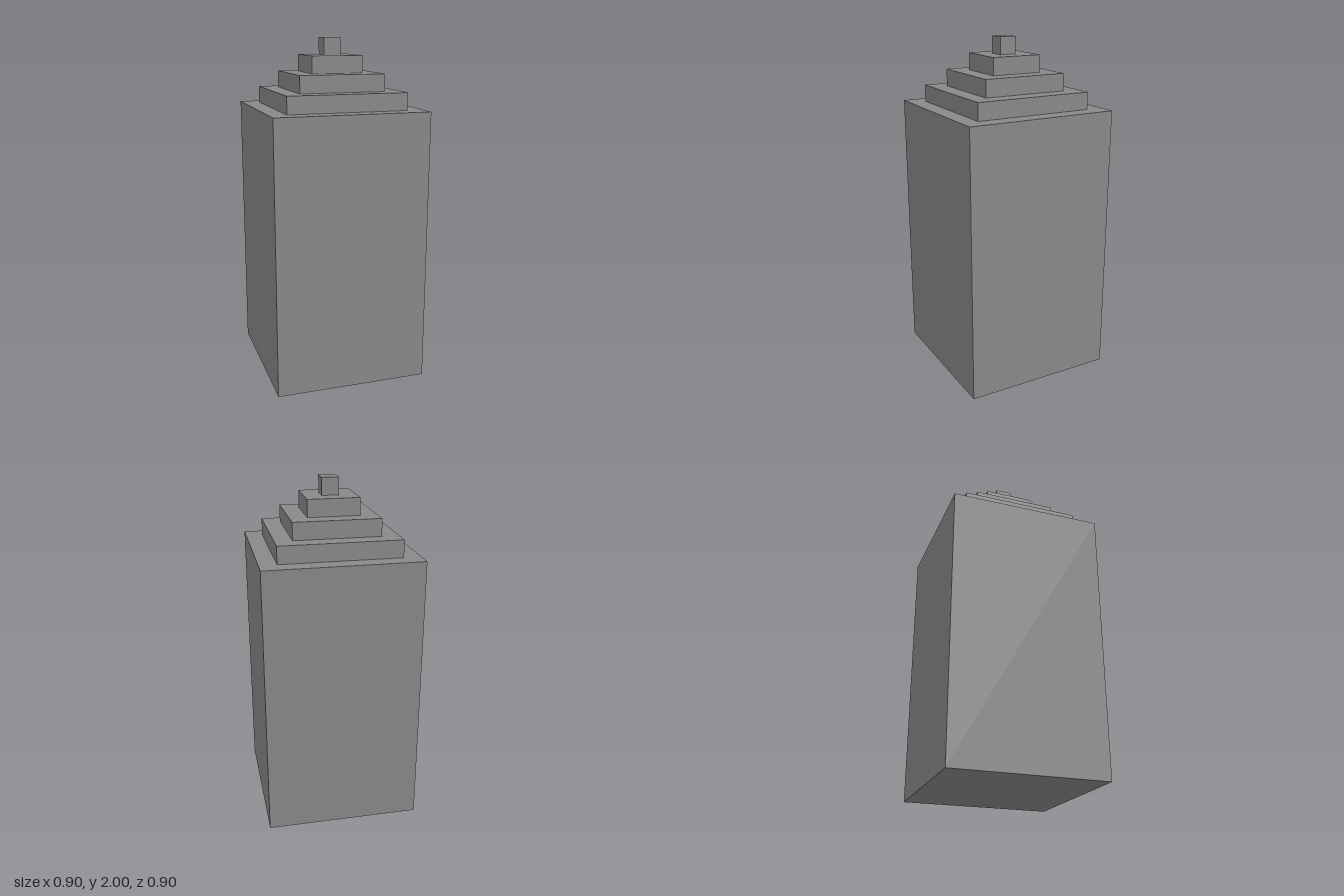
import * as THREE from 'three';

export function createModel() {
  const model = new THREE.Group();
  model.name = 'steppedTower';
  const stone = new THREE.MeshStandardMaterial({ color: 0x888888 });
  stone.name = 'grey stone';

  // Square block standing on height y
  function addBlock(name, width, height, y) {
    const block = new THREE.Mesh(new THREE.BoxGeometry(width, height, width), stone);
    block.name = name;
    block.position.y = y + height / 2;
    model.add(block);
  }

  // Tall shaft
  addBlock('shaft', 0.9, 1.6, 0);

  // Stepped roof, each tier 0.2 narrower than the one below
  const tiers = ['lowerRoofStep', 'middleRoofStep', 'upperRoofStep', 'finial'];
  tiers.forEach((name, i) => addBlock(name, 0.7 - 0.2 * i, 0.1, 1.6 + 0.1 * i));

  return model;
}
